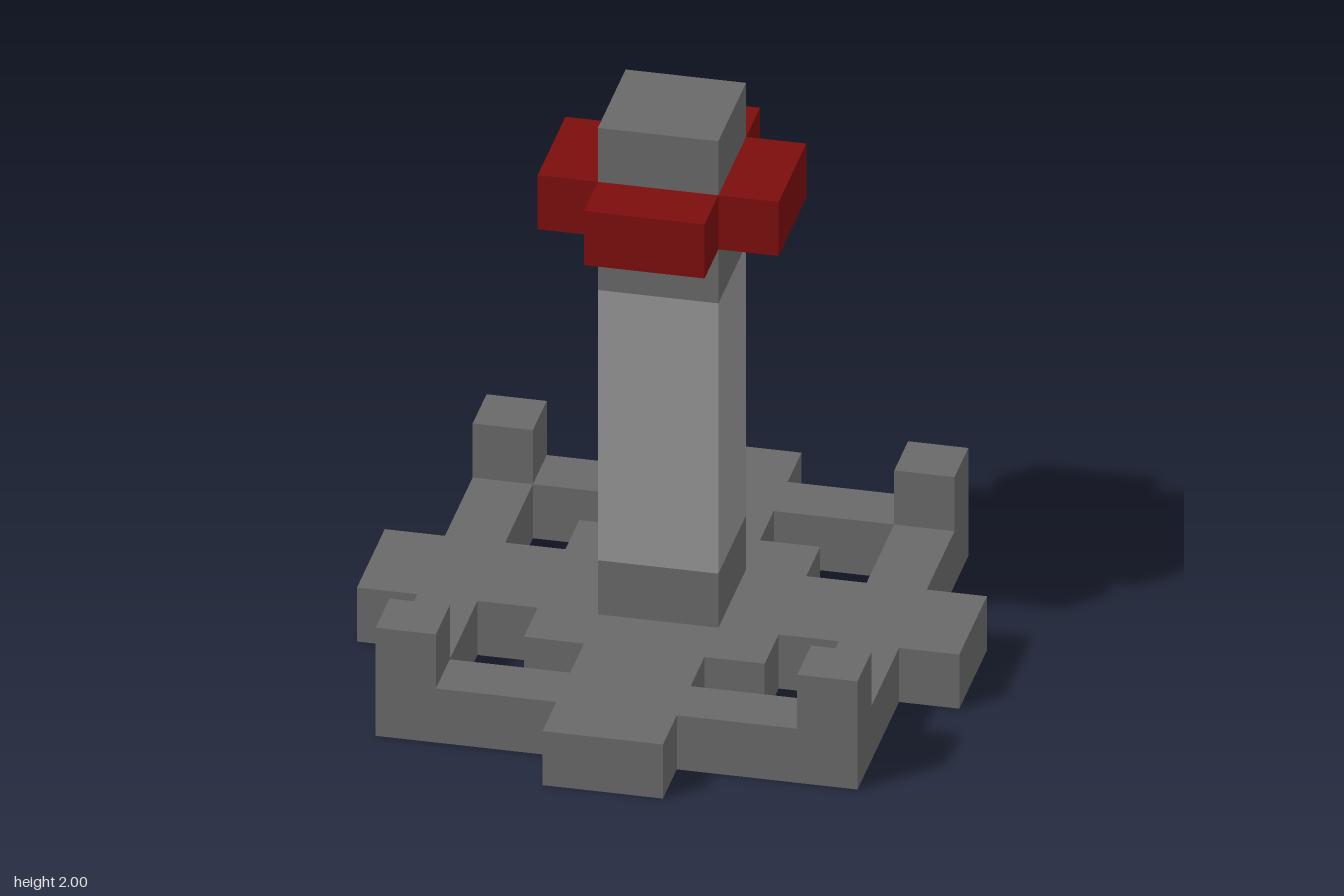
import * as THREE from 'three';

export function createModel() {
  const model = new THREE.Group();
  model.name = 'pillarMonument';

  const mat = (name, color) => {
    const m = new THREE.MeshStandardMaterial({ color });
    m.name = name;
    return m;
  };
  const darkStone = mat('darkStone', 0x696969);
  const lightStone = mat('lightStone', 0x969696);
  const red = mat('darkRed', 0x7d0d0d);

  const add = (name, geometry, material, x, y, z) => {
    const mesh = new THREE.Mesh(geometry, material);
    mesh.name = name;
    mesh.position.set(x, y, z);
    model.add(mesh);
  };

  // Turn a point by k quarter turns
  const turn = ([x, y], k) => {
    for (let i = 0; i < k; i++) [x, y] = [-y, x];
    return new THREE.Vector2(x, y);
  };
  // Repeat one quarter of an outline around the centre
  const fourfold = (quarter) => [0, 1, 2, 3].flatMap((k) => quarter.map((p) => turn(p, k)));

  // Flat slab with its bottom at y = 0
  const slab = (shape, height) =>
    new THREE.ExtrudeGeometry(shape, { depth: height, bevelEnabled: false }).rotateX(-Math.PI / 2);

  // Base: square with a projecting tab on each side and four L-shaped openings
  const base = new THREE.Shape(fourfold([[1, -0.2], [1, 0.2], [0.8, 0.2], [0.8, 0.8], [0.2, 0.8]]));
  const opening = [[0.2, 0.4], [0.4, 0.4], [0.4, 0.2], [0.6, 0.2], [0.6, 0.6], [0.2, 0.6]];
  for (let k = 0; k < 4; k++) base.holes.push(new THREE.Path(opening.map((p) => turn(p, k))));
  add('base', slab(base, 0.2), darkStone, 0, 0, 0);

  // Corner posts standing on the base
  for (const x of [-0.7, 0.7]) {
    for (const z of [-0.7, 0.7]) add('cornerPost', new THREE.BoxGeometry(0.2, 0.2, 0.2), darkStone, x, 0.3, z);
  }

  // Column, stacked from bottom to top
  const sections = [
    ['columnFoot', 0.2, 0.4, darkStone],
    ['columnShaft', 0.4, 1.4, lightStone],
    ['columnNeck', 1.4, 1.6, darkStone],
    ['columnCap', 1.8, 2.0, darkStone],
  ];
  for (const [name, y0, y1, material] of sections) {
    add(name, new THREE.BoxGeometry(0.4, y1 - y0, 0.4), material, 0, (y0 + y1) / 2, 0);
  }

  // Cross-shaped collar between neck and cap
  const cross = new THREE.Shape(fourfold([[0.4, -0.2], [0.4, 0.2], [0.2, 0.2]]));
  add('collar', slab(cross, 0.2), red, 0, 1.6, 0);

  return model;
}
